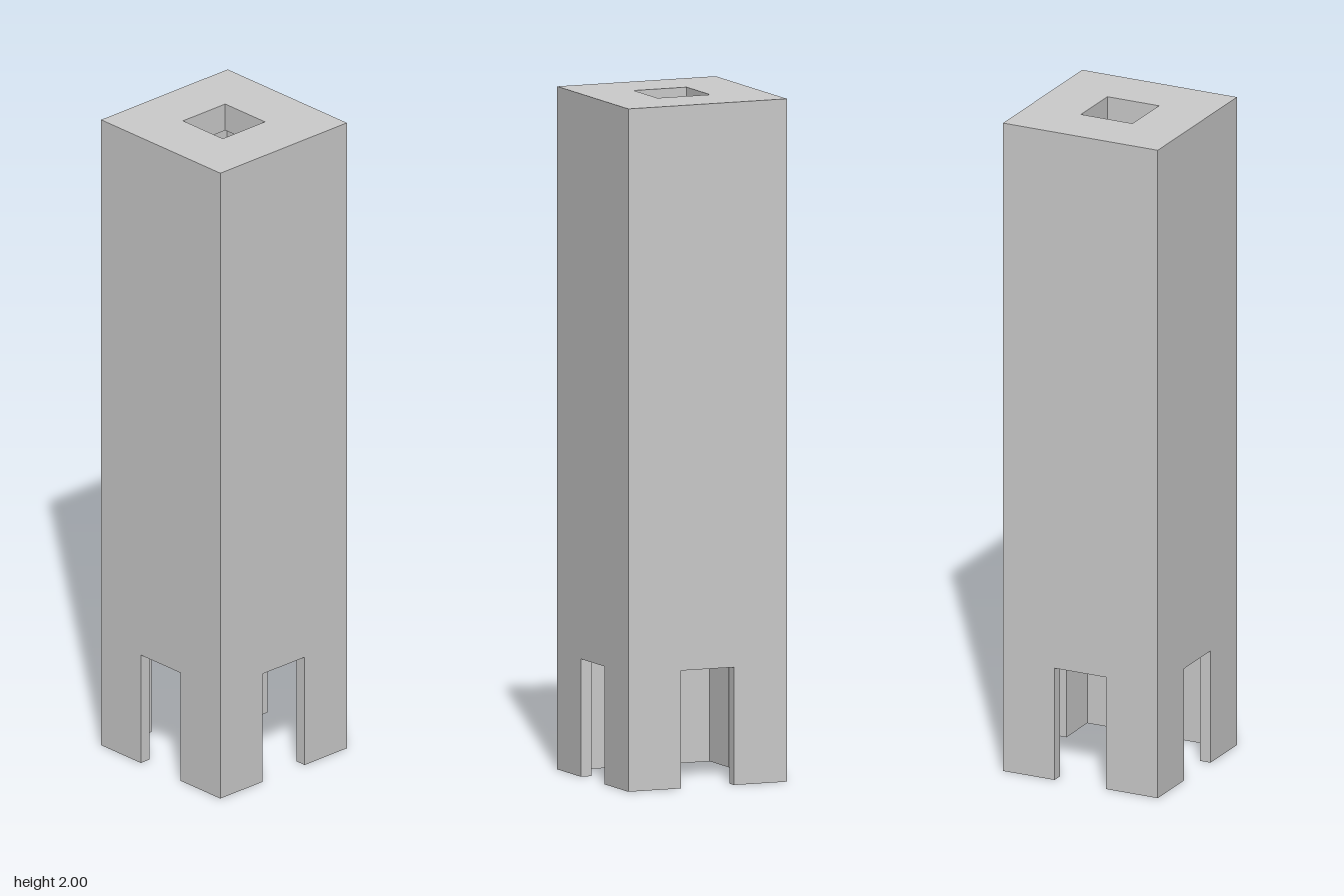
import * as THREE from 'three';

const H = 2;           // total height
const R = 0.252;       // half width of the tower
const D = 0.084;       // half width of doorways and roof opening
const T = 0.034;       // wall thickness
const DOOR = 0.345;    // doorway height
const CAP = 0.084;     // roof thickness

const material = new THREE.MeshStandardMaterial({ color: 0xcccccc });

const square = (r) => [[-r, -r], [r, -r], [r, r], [-r, r]].map(([x, y]) => new THREE.Vector2(x, y));

// Extrudes a floor plan upwards from y0 to y1
function storey(name, points, hole, y0, y1) {
  const shape = new THREE.Shape(points);
  if (hole) shape.holes.push(new THREE.Path(hole));
  const geometry = new THREE.ExtrudeGeometry(shape, { depth: y1 - y0, bevelEnabled: false });
  geometry.rotateX(-Math.PI / 2).translate(0, y0, 0);
  const mesh = new THREE.Mesh(geometry, material);
  mesh.name = name;
  return mesh;
}

export function createModel() {
  const tower = new THREE.Group();
  tower.name = 'tower';

  // Four L-shaped corner legs, leaving a doorway in each side
  const I = R - T;
  const corner = [[D, I], [I, I], [I, D], [R, D], [R, R], [D, R]].map(([x, y]) => new THREE.Vector2(x, y));
  for (let i = 0; i < 4; i++) {
    const leg = storey('cornerLeg' + (i + 1), corner, null, 0, DOOR);
    leg.rotation.y = i * Math.PI / 2;
    tower.add(leg);
  }

  // Hollow shaft above the doorways
  tower.add(storey('shaftWalls', square(R), square(I), DOOR, H - CAP));

  // Thick roof slab with a square opening
  tower.add(storey('roofSlab', square(R), square(D), H - CAP, H));

  return tower;
}
